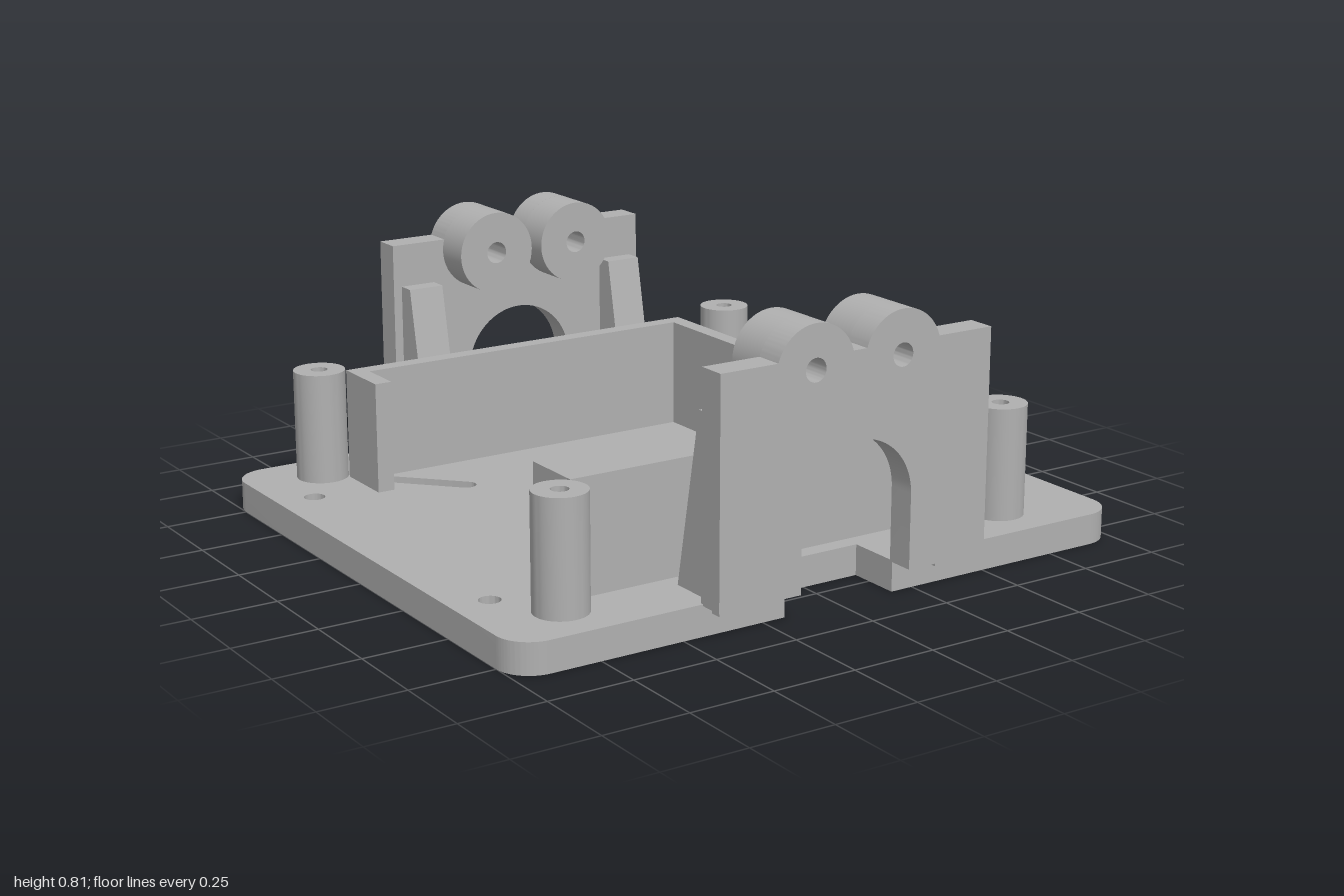
import * as THREE from 'three';
import { toCreasedNormals } from 'three/addons/utils/BufferGeometryUtils.js';

export function createModel() {
  const model = new THREE.Group();
  model.name = 'mountingBase';
  const grey = new THREE.MeshStandardMaterial({ color: 0xb0b0b0 });
  grey.name = 'grey plastic';

  const add = (parent, name, geometry) => {
    const mesh = new THREE.Mesh(geometry, grey);
    mesh.name = name;
    parent.add(mesh);
    return mesh;
  };
  const extrude = (shape, depth) => toCreasedNormals(
    new THREE.ExtrudeGeometry(shape, { depth, bevelEnabled: false, curveSegments: 24 }), 0.5);
  const box = (parent, name, x0, x1, y0, y1, z0, z1) =>
    add(parent, name, new THREE.BoxGeometry(x1 - x0, y1 - y0, z1 - z0)
      .translate((x0 + x1) / 2, (y0 + y1) / 2, (z0 + z1) / 2));
  const circle = (x, y, r) => new THREE.Path().absarc(x, y, r, 0, Math.PI * 2, true);
  const polygon = (points) => new THREE.Shape(points.map(([x, y]) => new THREE.Vector2(x, y)));
  const ring = (outer, inner) => {
    const shape = new THREE.Shape().absarc(0, 0, outer, 0, Math.PI * 2, false);
    shape.holes.push(circle(0, 0, inner));
    return shape;
  };
  const slot = (x0, y0, x1, y1, r) => {
    const a = Math.atan2(y1 - y0, x1 - x0), q = Math.PI / 2;
    return new THREE.Path()
      .absarc(x1, y1, r, a - q, a + q, false)
      .absarc(x0, y0, r, a + q, a + 3 * q, false)
      .closePath();
  };

  // Base plate: rounded corners, cable notches front and back, screw holes, diagonal slots
  const W = 1, D = 0.85, R = 0.1, T = 0.09, q = Math.PI / 2;
  const plate = new THREE.Shape();
  plate.moveTo(-0.18, -D).lineTo(-0.18, -0.69).lineTo(0.18, -0.69).lineTo(0.18, -D);
  plate.absarc(W - R, -D + R, R, -q, 0, false).absarc(W - R, D - R, R, 0, q, false);
  plate.lineTo(0.18, D).lineTo(0.18, 0.69).lineTo(-0.18, 0.69).lineTo(-0.18, D);
  plate.absarc(-W + R, D - R, R, q, 2 * q, false).absarc(-W + R, -D + R, R, 2 * q, 3 * q, false);
  for (const sx of [-1, 1]) {
    for (const sz of [-1, 1]) {
      plate.holes.push(circle(sx * 0.885, sz * 0.517, 0.031));
      plate.holes.push(slot(sx * 0.457, sz * 0.375, sx * 0.635, sz * 0.562, 0.029));
    }
  }
  add(model, 'basePlate', extrude(plate, T).rotateX(-q));

  // Tray walls, open on the right-hand side except for two corner lips
  const tray = new THREE.Group();
  tray.name = 'tray';
  model.add(tray);
  const top = 0.42;
  for (const s of [-1, 1]) {
    const z = s * 0.613;
    box(tray, 'trayLongWall', -0.71, 0.47, T, top, z - 0.025, z + 0.025);
    const lip = s * 0.52;
    box(tray, 'trayLip', -0.71, -0.658, T, top, lip - 0.07, lip + 0.07);
  }
  // End wall with small reliefs where the slots pass under it
  const endWall = polygon([
    [-0.59, T], [-0.44, T], [-0.44, 0.11], [-0.35, 0.11], [-0.35, T],
    [0.35, T], [0.35, 0.11], [0.44, 0.11], [0.44, T], [0.59, T], [0.59, top], [-0.59, top]]);
  add(tray, 'trayEndWall', extrude(endWall, 0.05).rotateY(-q).translate(0.47, 0, 0));

  // Hollow screw posts
  for (const x of [-0.773, 0.685]) {
    for (const z of [-0.69, 0.69]) {
      add(model, 'screwPost', extrude(ring(0.077, 0.025), top - T).rotateX(-q))
        .position.set(x, T, z);
    }
  }

  // Upright bracket with arch, twin drums, gussets and feet
  const drumX = 0.142, drumY = 0.69, drumR = 0.125, shoulder = 0.725;
  const t = Math.asin((shoulder - drumY) / drumR);
  const panel = new THREE.Shape();
  panel.moveTo(-0.44, 0.085).lineTo(-0.18, 0.085);
  panel.absarc(0, 0.3, 0.18, Math.PI, 0, true);
  panel.lineTo(0.18, 0.085).lineTo(0.44, 0.085).lineTo(0.44, shoulder);
  panel.absarc(drumX, drumY, drumR, t, Math.PI - t, false);
  panel.absarc(-drumX, drumY, drumR, t, Math.PI - t, false);
  panel.lineTo(-0.44, shoulder);
  for (const s of [-1, 1]) panel.holes.push(circle(s * drumX, drumY, 0.033));
  const panelGeometry = extrude(panel, 0.083);
  const gusset = polygon([[-0.845, T], [-0.69, T], [-0.787, 0.595], [-0.845, 0.595]]);

  for (const turn of [0, Math.PI]) {
    const bracket = new THREE.Group();
    bracket.name = turn ? 'backBracket' : 'frontBracket';
    bracket.rotation.y = turn;
    model.add(bracket);
    add(bracket, 'bracketPanel', panelGeometry).position.z = 0.84;
    for (const s of [-1, 1]) {
      add(bracket, 'drum', extrude(ring(drumR, 0.033), 0.117))
        .position.set(s * drumX, drumY, 0.725);
      add(bracket, 'gusset', extrude(gusset, 0.112).rotateY(q))
        .position.x = s * 0.357 - 0.056;
      box(bracket, 'foot', s * 0.357 - 0.056, s * 0.357 + 0.056, 0.06, 0.088, 0.84, 0.885);
    }
  }
  return model;
}
